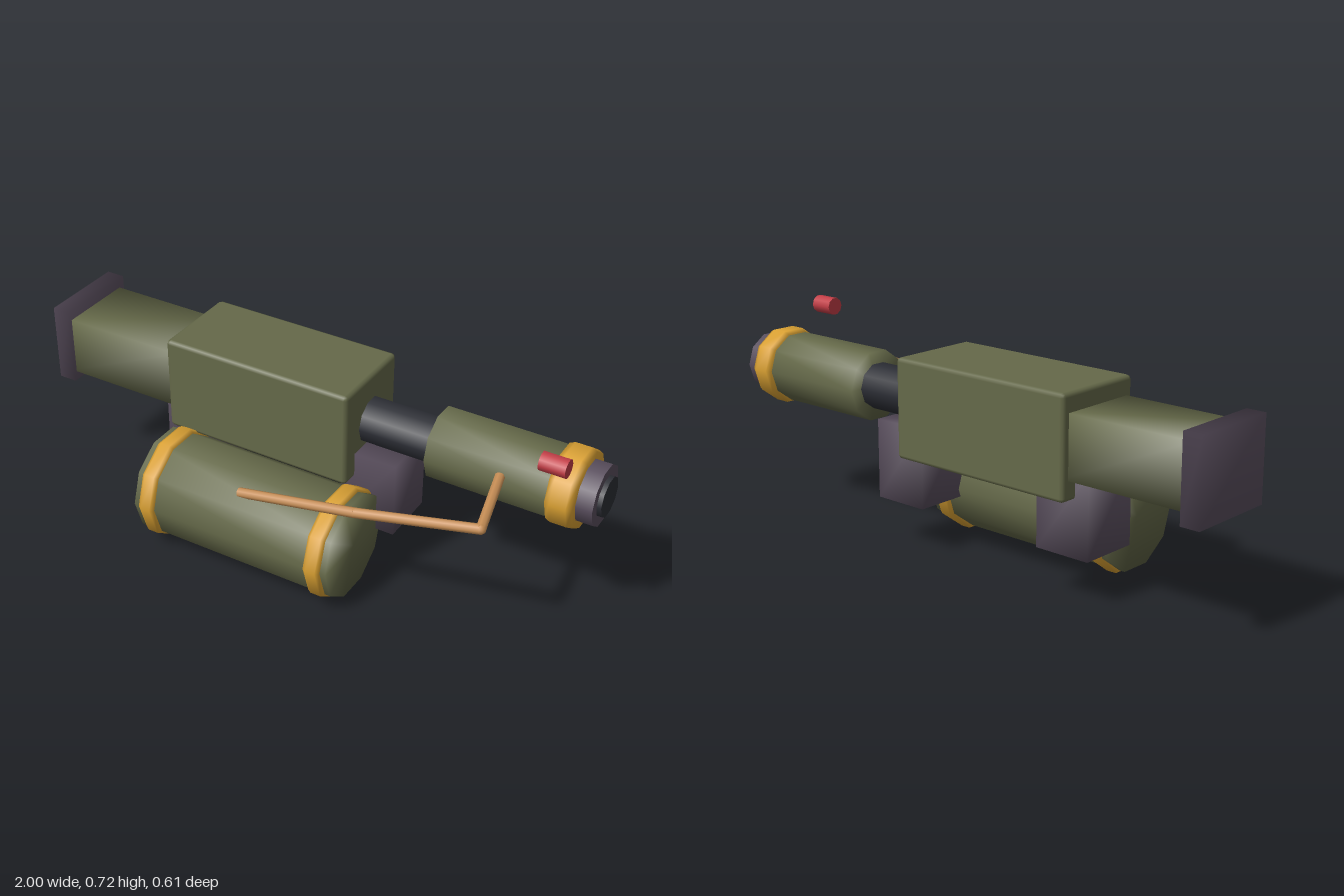
import * as THREE from 'three';
import { mergeVertices } from 'three/addons/utils/BufferGeometryUtils.js';
import { RoundedBoxGeometry } from 'three/addons/geometries/RoundedBoxGeometry.js';

const SIDES = 10;
const AXIS_Y = 0.507, AXIS_Z = -0.14;   // barrel axis
const TANK_Y = 0.187, TANK_Z = 0.111;   // tank axis

function material(name, color) {
  const m = new THREE.MeshStandardMaterial({ color });
  m.name = name;
  return m;
}

// Shares corner vertices so shading runs softly over the edges
function soften(geometry) {
  geometry.deleteAttribute('normal');
  geometry.deleteAttribute('uv');
  const g = mergeVertices(geometry, 1e-4);
  g.computeVertexNormals();
  return g;
}

export function createModel() {
  const group = new THREE.Group();
  const olive = material('olive', 0x656949);
  const gold = material('gold', 0xd9a032);
  const plum = material('plum', 0x584d5c);
  const dark = material('dark steel', 0x2b2d34);
  const copper = material('copper', 0xc48c54);
  const red = material('red', 0xc23d46);

  function add(name, geometry, mat, x = 0, y = 0, z = 0) {
    const mesh = new THREE.Mesh(geometry, mat);
    mesh.name = name;
    mesh.position.set(x, y, z);
    group.add(mesh);
    return mesh;
  }

  // Cylinder along x from x0 to x1
  function tube(name, mat, x0, x1, radius, y, z, soft = false) {
    let g = new THREE.CylinderGeometry(radius, radius, x1 - x0, SIDES);
    g.rotateZ(-Math.PI / 2);
    if (soft) g = soften(g);
    return add(name, g, mat, (x0 + x1) / 2, y, z);
  }

  // Band around an x axis with chamfered rims
  function band(name, x0, x1, radius, inner, y, z) {
    const h = (x1 - x0) / 2, c = h * 0.4, d = 0.008;
    const profile = [
      [inner, -h], [radius - d, -h], [radius, -h + c],
      [radius, h - c], [radius - d, h], [inner, h],
    ].map(([r, t]) => new THREE.Vector2(r, t));
    const g = new THREE.LatheGeometry(profile, SIDES);
    g.rotateZ(-Math.PI / 2);
    return add(name, g, gold, (x0 + x1) / 2, y, z);
  }

  function softBox(name, mat, w, h, d, x, y, z) {
    return add(name, soften(new THREE.BoxGeometry(w, h, d)), mat, x, y, z);
  }

  // Receiver and rear stock
  add('receiver', new RoundedBoxGeometry(0.69, 0.335, 0.326, 1, 0.014), olive, -0.17, 0.505, AXIS_Z);
  softBox('rearHousing', olive, 0.46, 0.207, 0.274, -0.72, 0.508, AXIS_Z);
  softBox('endPlate', plum, 0.066, 0.275, 0.31, -0.967, 0.508, -0.147);

  // Barrel and muzzle
  tube('barrel', dark, 0.15, 0.46, 0.079, AXIS_Y, AXIS_Z);
  tube('barrelShroud', olive, 0.43, 0.86, 0.122, AXIS_Y, AXIS_Z, true);
  band('muzzleBand', 0.84, 0.93, 0.134, 0.09, AXIS_Y, AXIS_Z);
  tube('muzzle', plum, 0.86, 0.985, 0.103, AXIS_Y, AXIS_Z);
  tube('bore', dark, 0.95, 1.0, 0.068, AXIS_Y, AXIS_Z);

  // Grips below the receiver
  softBox('frontGrip', plum, 0.2, 0.27, 0.207, 0.225, 0.295, AXIS_Z);
  softBox('rearGrip', plum, 0.2, 0.27, 0.207, -0.465, 0.287, AXIS_Z);

  // Side tank with two bands
  tube('tank', olive, -0.48, 0.26, 0.182, TANK_Y, TANK_Z, true);
  for (const x of [-0.43, 0.21]) band('tankBand', x - 0.03, x + 0.03, 0.194, 0.17, TANK_Y, TANK_Z);

  // Fuel line running from tank to muzzle
  const path = [
    [-0.11, 0.323, 0.212], [0.32, 0.41, 0.214], [0.73, 0.495, 0.19], [0.685, 0.535, -0.03],
  ].map((p) => new THREE.Vector3(...p));
  const up = new THREE.Vector3(0, 1, 0);
  for (let i = 0; i < path.length - 1; i++) {
    const span = path[i + 1].clone().sub(path[i]);
    const mid = path[i].clone().add(path[i + 1]).multiplyScalar(0.5);
    const pipe = add('fuelLine', new THREE.CylinderGeometry(0.017, 0.017, span.length(), 8), copper, mid.x, mid.y, mid.z);
    pipe.quaternion.setFromUnitVectors(up, span.normalize());
    if (i > 0) add('fuelLineJoint', new THREE.SphereGeometry(0.017, 8, 6), copper, ...path[i].toArray());
  }

  // Floating pilot light
  tube('pilotLight', red, 0.84, 0.925, 0.031, 0.694, 0.042);

  return group;
}
